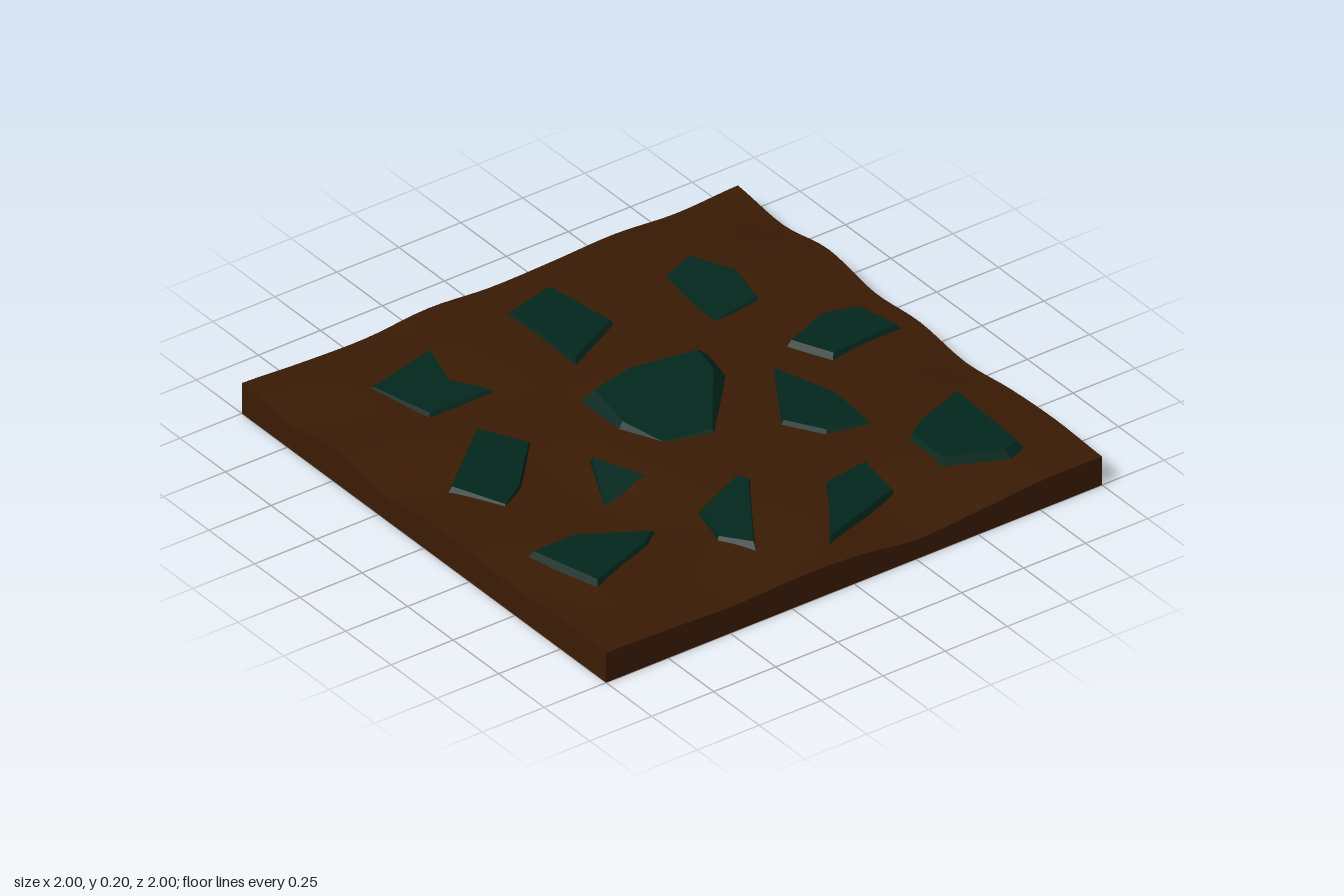
import * as THREE from 'three';

// Ground heights on a coarse 9 x 9 grid, rows from back to front (hundredths)
const HEIGHTS = [
  [11.8, 9.5, 13, 9.5, 11, 8.5, 11, 12, 11],
  [10.5, 13.5, 13.5, 12.5, 13, 12.5, 13.5, 14.5, 11],
  [12, 13.5, 12.5, 13.5, 13, 13.5, 14.5, 15, 9],
  [11, 14.5, 14, 14.5, 13.5, 13.5, 14, 14, 7.5],
  [10.5, 14, 14, 13.5, 13.3, 13.5, 14.5, 15.5, 10.5],
  [12, 14.5, 14.5, 12.5, 12.8, 14.3, 13.5, 14, 11],
  [10, 13, 13, 12.8, 11, 9.8, 11.7, 13, 10],
  [10.5, 13, 12.5, 12, 11.7, 12, 12.5, 13, 11],
  [11.8, 9.5, 12.7, 9, 11.5, 11.5, 10.5, 12, 11.5],
];

// Stone outlines as x, z pairs, clockwise from above; the optional plane sets the top as [y, slopeX, slopeZ]
const STONES = [
  { outline: [-.73, -.6, -.56, -.68, -.39, -.64, -.36, -.44, -.68, -.47] },
  { outline: [-.17, -.88, 0, -.92, .04, -.62, -.11, -.55, -.2, -.75] },
  { outline: [.45, -.82, .83, -.8, .85, -.73, .78, -.52, .6, -.52, .53, -.61] },
  { outline: [-.03, -.43, .22, -.5, .44, -.48, .4, -.33, .26, -.25] },
  { outline: [.63, -.32, .8, -.31, .91, .03, .66, -.14] },
  { outline: [-.84, -.12, -.54, -.16, -.42, .08, -.79, .08] },
  { outline: [-.19, -.25, -.08, -.24, .17, -.05, .13, .13, -.04, .18, -.23, .16, -.25, 0], plane: [.16, -.12, -.08] },
  { outline: [.44, .06, .48, .04, .81, .26, .7, .33, .53, .28] },
  { outline: [.06, .37, .25, .28, .28, .48], plane: [.225, -.13, -.19] },
  { outline: [-.77, .41, -.58, .47, -.45, .39, -.46, .64, -.71, .7] },
  { outline: [-.31, .56, -.15, .46, .04, .64, .11, .75, -.08, .84] },
  { outline: [.38, .68, .52, .45, .57, .52, .68, .8, .39, .86] },
];

// Smooth curve through evenly spaced values, t in 0..1
function spline(values, t) {
  const f = Math.min(Math.max(t, 0), 1) * (values.length - 1);
  const i = Math.min(Math.floor(f), values.length - 2), u = f - i;
  const b = values[i], c = values[i + 1], a = values[i - 1] ?? b, d = values[i + 2] ?? c;
  return b + 0.5 * u * (c - a + u * (2 * a - 5 * b + 4 * c - d + u * (3 * (b - c) + d - a)));
}

function groundHeight(x, z) {
  return spline(HEIGHTS.map(row => spline(row, (x + 1) / 2)), (z + 1) / 2) / 100;
}

// Joins rows of points into a surface
function loft(rows) {
  const n = rows[0].length, index = [];
  for (let r = 0; r < rows.length - 1; r++) {
    for (let i = 0; i < n - 1; i++) {
      const a = r * n + i, b = a + n;
      index.push(a, b, a + 1, a + 1, b, b + 1);
    }
  }
  const geometry = new THREE.BufferGeometry();
  geometry.setAttribute('position', new THREE.Float32BufferAttribute(rows.flat(2), 3));
  geometry.setIndex(index);
  geometry.computeVertexNormals();
  return geometry;
}

function faceted(geometry) {
  const flat = geometry.toNonIndexed();
  flat.computeVertexNormals();
  return flat;
}

// Stone shell: a tilted flat top and widely flared sides sunk through the ground, open below
function stoneGeometry({ outline, plane }) {
  const points = [];
  for (let i = 0; i < outline.length; i += 2) points.push([outline[i], outline[i + 1]]);
  const cx = points.reduce((s, p) => s + p[0], 0) / points.length;
  const cz = points.reduce((s, p) => s + p[1], 0) / points.length;
  const d = 0.12;
  const slopeX = (groundHeight(cx + d, cz) - groundHeight(cx - d, cz)) / (2 * d);
  const slopeZ = (groundHeight(cx, cz + d) - groundHeight(cx, cz - d)) / (2 * d);
  const topY = plane
    ? (x, z) => plane[0] + plane[1] * x + plane[2] * z
    : (x, z) => groundHeight(cx, cz) + 0.014 + slopeX * (x - cx) + slopeZ * (z - cz);
  points.push(points[0]);
  const ring = (scale, drop) => points.map(([px, pz]) => {
    const x = cx + (px - cx) * scale, z = cz + (pz - cz) * scale;
    return [x, topY(x, z) - drop, z];
  }).reverse();
  return faceted(loft([ring(0, 0), ring(0.94, 0), ring(1.2, 0.065)]));
}

export function createModel() {
  const model = new THREE.Group();
  const earth = new THREE.MeshStandardMaterial({ name: 'earth brown', color: 0x3a1b04, side: THREE.DoubleSide });
  const stone = new THREE.MeshStandardMaterial({ name: 'dark green stone', color: 0x03271d, side: THREE.DoubleSide });
  const add = (name, geometry, material, parent = model) => {
    const mesh = new THREE.Mesh(geometry, material);
    mesh.name = name;
    parent.add(mesh);
  };

  // Rolling ground
  const N = 40;
  const steps = Array.from({ length: N + 1 }, (_, i) => -1 + 2 * i / N);
  add('ground', loft(steps.map(z => steps.map(x => [x, groundHeight(x, z), z]))), earth);

  // Four upright sides following the ground edge; the underside is open
  const sides = {
    frontSide: t => [t, 1], backSide: t => [-t, -1],
    leftSide: t => [1, -t], rightSide: t => [-1, t],
  };
  for (const [name, edge] of Object.entries(sides)) {
    const path = steps.map(edge);
    add(name, loft([
      path.map(([x, z]) => [x, groundHeight(x, z), z]),
      path.map(([x, z]) => [x, 0, z]),
    ]), earth);
  }

  // Scattered stones
  const stones = new THREE.Group();
  stones.name = 'stones';
  STONES.forEach((s, i) => add(`stone${i + 1}`, stoneGeometry(s), stone, stones));
  model.add(stones);
  return model;
}
